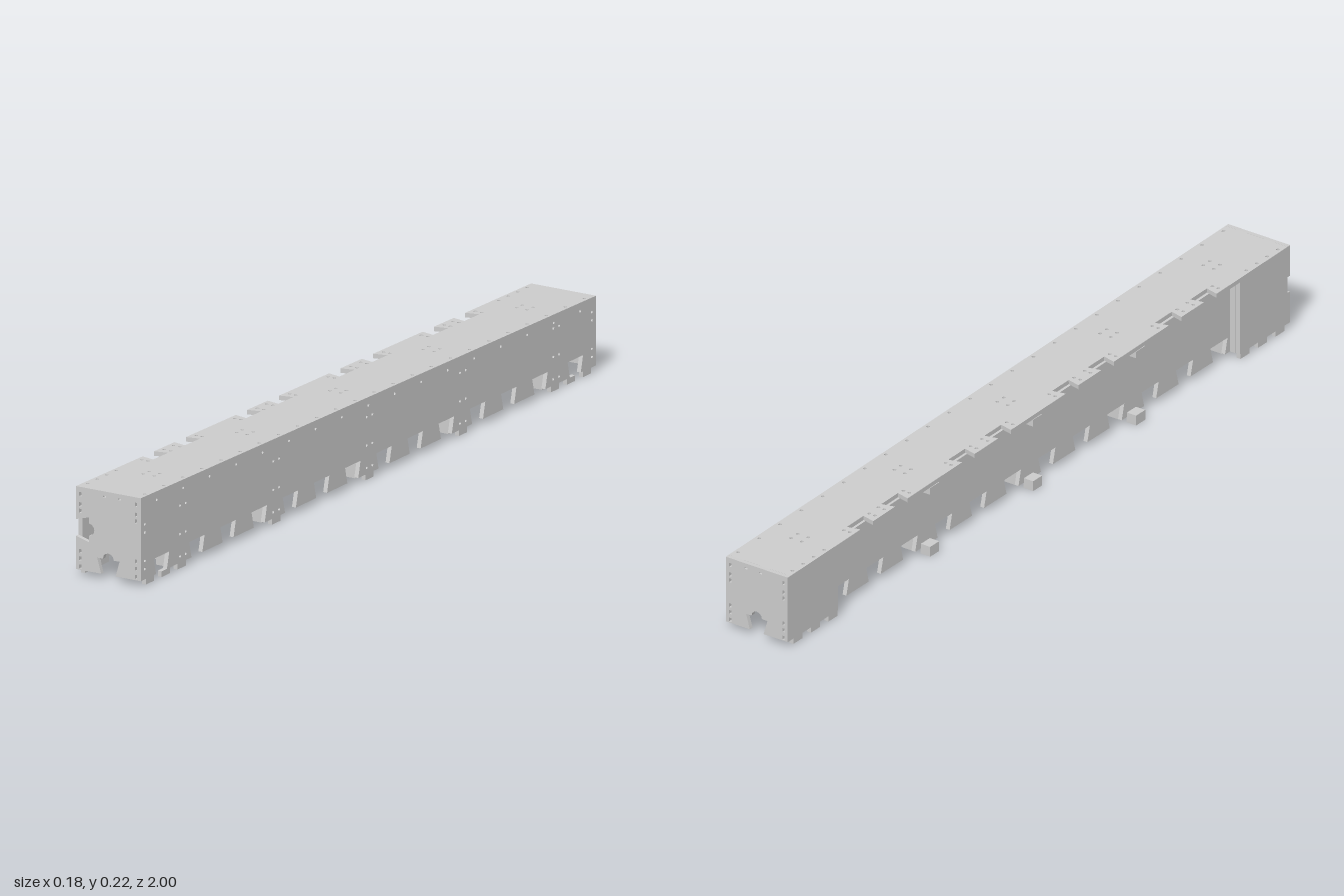
import * as THREE from 'three';

const T = 0.011;          // plate thickness
const BASE = 0.014;       // bottom edge of the plates
const W = 0.09;           // half width
const SLOPE = 0.0165;
const topY = (z) => 0.2015 + SLOPE * z;
const mat = new THREE.MeshStandardMaterial({ color: 0xcccccc, side: THREE.DoubleSide });

const v = (x, y) => new THREE.Vector2(x, y);

// Dovetail cut into a horizontal bottom edge, narrow at the mouth
const dovetail = (c, h = 0.04, mouth = 0.024, deep = 0.034) =>
  [v(c - mouth, BASE), v(c - deep, BASE + h), v(c + deep, BASE + h), v(c + mouth, BASE)];

function roundHole(x, y, r = 0.0045) {
  const p = new THREE.Path();
  p.absarc(x, y, r, 0, Math.PI * 2, true);
  return p;
}

function slotHole(x, y, w, h) {
  return new THREE.Path([v(x - w / 2, y - h / 2), v(x - w / 2, y + h / 2),
    v(x + w / 2, y + h / 2), v(x + w / 2, y - h / 2)]);
}

function plate(name, pts, holes = []) {
  const shape = new THREE.Shape(pts);
  shape.holes.push(...holes);
  const geo = new THREE.ExtrudeGeometry(shape, { depth: T, bevelEnabled: false, curveSegments: 4 });
  const mesh = new THREE.Mesh(geo, mat);
  mesh.name = name;
  return mesh;
}

// Plate in the z-y plane whose outer face lies at x
function sidePlate(name, x, z0, z1, notches, holes) {
  const pts = [v(z0, BASE)];
  notches.forEach((c) => pts.push(...dovetail(c)));
  pts.push(v(z1, BASE), v(z1, topY(z1) - T), v(z0, topY(z0) - T));
  const mesh = plate(name, pts, holes);
  mesh.rotation.y = -Math.PI / 2;
  mesh.position.x = x;
  return mesh;
}

function box(name, w, h, d, x, y, z) {
  const mesh = new THREE.Mesh(new THREE.BoxGeometry(w, h, d), mat);
  mesh.name = name;
  mesh.position.set(x, y, z);
  return mesh;
}

// End plate with a bottom dovetail and, if asked, a second one in the -x edge
function endPlate(name, z, sideSlot) {
  const top = topY(z);
  const pts = [v(-W, BASE), v(-0.02, BASE), v(-0.031, 0.052), v(-0.015, 0.052)];
  for (let i = 1; i < 6; i++) {
    const a = Math.PI * (1 - i / 6);
    pts.push(v(0.015 * Math.cos(a), 0.052 + 0.015 * Math.sin(a)));
  }
  pts.push(v(0.015, 0.052), v(0.031, 0.052), v(0.02, BASE), v(W, BASE), v(W, top), v(-W, top));
  if (sideSlot) {
    pts.push(v(-W, 0.137), v(-0.054, 0.147), v(-0.054, 0.132));
    for (let i = 1; i < 6; i++) {
      const a = Math.PI * (0.5 - i / 6);
      pts.push(v(-0.054 + 0.015 * Math.cos(a), 0.117 + 0.015 * Math.sin(a)));
    }
    pts.push(v(-0.054, 0.102), v(-0.054, 0.086), v(-W, 0.096));
  }
  const holes = [];
  for (const x of [-0.078, 0.077]) {
    for (const y of [0.022, 0.042, 0.06]) holes.push(slotHole(x, y, 0.006, 0.01));
    for (const d of [0.018, 0.043, 0.059]) holes.push(slotHole(x, top - d, 0.006, 0.01));
  }
  for (const x of [-0.011, 0.031]) holes.push(slotHole(x, top - 0.013, 0.009, 0.004));
  const mesh = plate(name, pts, holes);
  mesh.position.z = z > 0 ? z - T : z;
  return mesh;
}

// Cross plate with feet along its bottom edge
function bulkhead(z, xMin) {
  const g = new THREE.Group();
  g.name = 'bulkhead';
  const h = topY(z) - T - 0.001;
  const pts = [v(xMin, BASE), v(-0.04, BASE), v(-0.04, 0), v(-0.007, 0), v(-0.007, 0.018),
    v(0.003, 0.018), v(0.003, BASE), v(0.027, BASE), v(0.027, 0), v(0.062, 0),
    v(0.062, BASE), v(W - T, BASE), v(W - T, h), v(xMin, h)];
  const mesh = plate('bulkheadPlate', pts);
  mesh.position.z = z - T / 2;
  g.add(mesh);
  return g;
}

export function createModel() {
  const model = new THREE.Group();
  model.name = 'boxBeam';
  const stations = [-0.82, -0.41, 0, 0.41, 0.82].map((z) => z - 0.005);
  const notches = [];
  for (let i = -11; i <= 11; i += 2) notches.push(i * 0.0685);

  // Sloping top plate with edge dovetails and screw holes
  const lidNotches = [-0.685, -0.548, -0.281, -0.137, 0.132, 0.273, 0.542, 0.682];
  const lid = [v(-W, -0.989), v(W, -0.989), v(W, 0.989), v(-W, 0.989)];
  for (const c of [...lidNotches].reverse()) {
    lid.push(v(-W, c + 0.025), v(-0.056, c + 0.033), v(-0.056, c - 0.033), v(-W, c - 0.025));
  }
  const lidHoles = [];
  for (let i = 0; i < 24; i++) lidHoles.push(roundHole(0.079, -0.966 + i * 0.084));
  for (const s of [-1, 1]) for (let i = 0; i < 4; i++) lidHoles.push(roundHole(-0.079, s * (0.84 + i * 0.042)));
  for (const c of lidNotches) for (const s of [-1, 1]) for (const x of [-0.077, -0.06]) {
    lidHoles.push(roundHole(x, c + s * 0.05));
  }
  for (const z of stations) for (const dz of [-0.0125, 0.0125]) for (const x of [-0.012, 0.018]) {
    lidHoles.push(roundHole(x, z + dz));
  }
  const top = plate('topPlate', lid, lidHoles);
  top.rotation.x = Math.PI / 2 - Math.atan(SLOPE);
  top.position.y = topY(0);
  model.add(top);

  // Full-length wall on +x
  const wallHoles = [];
  for (let i = 0; i < 17; i++) {
    const z = -0.93 + i * 0.11625;
    wallHoles.push(roundHole(z, topY(z) - 0.02, 0.004));
  }
  for (const z of stations) for (const dz of [-0.0125, 0.0125]) for (const y of [0.03, 0.085, 0.155]) {
    wallHoles.push(roundHole(z + dz, y, 0.004));
  }
  for (const z of [-0.982, 0.982]) for (const y of [0.04, 0.06, 0.13, 0.15]) wallHoles.push(roundHole(z, y, 0.004));
  model.add(sidePlate('outerWall', W, -0.989, 0.989, [-0.909, ...notches, 0.909], wallHoles));

  // Recessed wall on -x, with flush panels at both ends
  model.add(sidePlate('recessedWall', -0.063 + T, -0.80, 0.80, notches, []));
  model.add(sidePlate('frontSidePanel', -W + T, 0.80, 0.989, [], []));
  model.add(sidePlate('backSidePanel', -W + T, -0.989, -0.80, [], []));

  model.add(endPlate('frontPlate', 1, true), endPlate('backPlate', -1, false));

  // Paired bulkheads; the outer pairs close the end compartments
  stations.forEach((z, i) => {
    const outer = i === 0 || i === 4;
    for (const dz of [-0.0125, 0.0125]) model.add(bulkhead(z + dz, outer ? -W + T : -0.052));
    if (!outer) {
      // Blocks passing through the recessed wall, under the lid and at the foot
      model.add(box('footBlock', 0.028, 0.026, 0.036, -0.076, 0.013, z));
      model.add(box('headBlock', 0.028, 0.018, 0.036, -0.076, topY(z) - T - 0.0105, z));
      model.add(box('wallFoot', T, BASE, 0.036, W - T / 2, BASE / 2, z));
    }
  });

  // Small feet under both walls of the end compartments
  for (const s of [-1, 1]) for (const z of [0.96, 0.89, 0.82]) for (const x of [-1, 1]) {
    model.add(box('endFoot', T, BASE, 0.036, x * (W - T / 2), BASE / 2, s * z));
  }
  return model;
}
